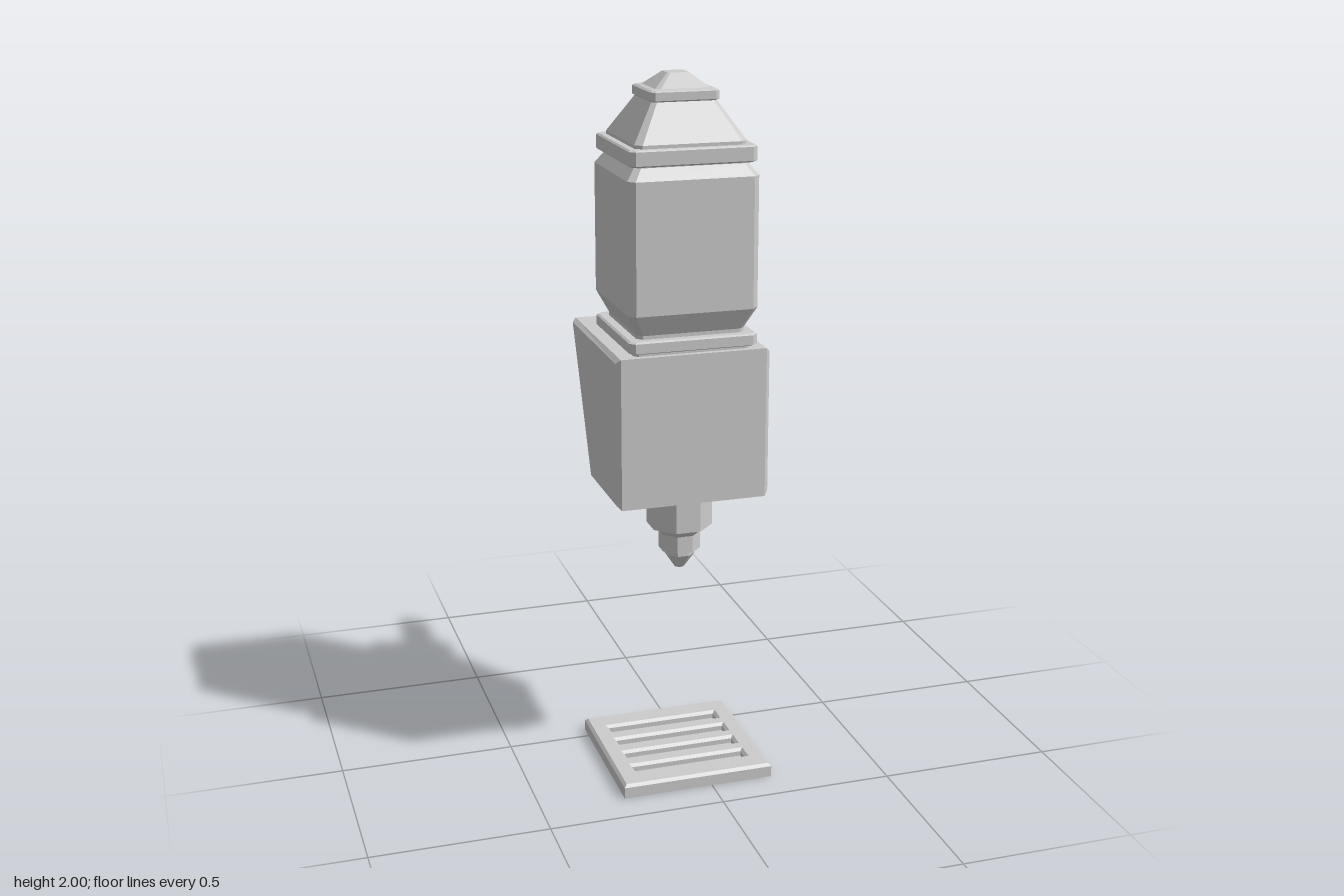
import * as THREE from 'three';

const flat = new THREE.MeshStandardMaterial({ color: 0xcccccc, flatShading: true });
const shell = new THREE.MeshStandardMaterial({ color: 0xcccccc, side: THREE.DoubleSide });

// Stacks square rings with cut corners; each ring is [y, half width, corner cut].
function loft(rings) {
  const pos = [];
  const idx = [];
  const add = (x, y, z) => pos.push(x, y, z) / 3 - 1;
  for (const [y, h, c] of rings) {
    const k = h - c;
    for (const [x, z] of [[h, -k], [h, k], [k, h], [-k, h], [-h, k], [-h, -k], [-k, -h], [k, -h]]) add(x, y, z);
  }
  const last = (rings.length - 1) * 8;
  const bottom = add(0, rings[0][0], 0);
  const top = add(0, rings[rings.length - 1][0], 0);
  for (let j = 0; j < 8; j++) {
    const n = (j + 1) % 8;
    for (let i = 0; i < last; i += 8) idx.push(i + j, i + 8 + j, i + n, i + n, i + 8 + j, i + 8 + n);
    idx.push(bottom, j, n, top, last + n, last + j);
  }
  const g = new THREE.BufferGeometry();
  g.setAttribute('position', new THREE.Float32BufferAttribute(pos, 3));
  g.setIndex(idx);
  g.computeVertexNormals();
  return g;
}

function rectPath(Type, x0, y0, x1, y1) {
  return new Type([[x0, y0], [x1, y0], [x1, y1], [x0, y1]].map(p => new THREE.Vector2(...p)));
}

export function createModel() {
  const model = new THREE.Group();
  const add = (name, geometry, x = 0, y = 0, z = 0, material = flat, parent = model) => {
    const mesh = new THREE.Mesh(geometry, material);
    mesh.name = name;
    mesh.position.set(x, y, z);
    parent.add(mesh);
    return mesh;
  };

  // Drip tray: a floor plate under a slotted grille
  const tray = new THREE.Group();
  tray.name = 'dripTray';
  model.add(tray);
  add('trayFloor', new THREE.BoxGeometry(0.44, 0.018, 0.44), -0.04, 0.009, 0.18, flat, tray);
  const grille = rectPath(THREE.Shape, -0.22, -0.22, 0.22, 0.22);
  for (let i = 0; i < 4; i++) {
    const y = (i - 1.5) * 0.085;
    grille.holes.push(rectPath(THREE.Path, -0.165, y - 0.02, 0.165, y + 0.02));
  }
  const grilleGeo = new THREE.ExtrudeGeometry(grille, {
    depth: 0.014, bevelThickness: 0.008, bevelSize: 0.008, bevelOffset: -0.008, bevelSegments: 1,
  });
  add('trayGrille', grilleGeo.rotateX(-Math.PI / 2), -0.04, 0.018, 0.18, flat, tray);

  // Body with a sloping back, drawn in side profile (z, y)
  const b = 0.012;
  const side = new THREE.Shape([[0.335, 0.84], [0.335, 1.267], [-0.147, 1.267], [0.045, 0.84]]
    .map(p => new THREE.Vector2(...p)));
  const bodyGeo = new THREE.ExtrudeGeometry(side, {
    depth: 0.437 - 2 * b, bevelThickness: b, bevelSize: b, bevelOffset: -b, bevelSegments: 1,
  });
  add('body', bodyGeo.rotateY(-Math.PI / 2), 0.182 - b, 0, 0);

  // Collar, bean hopper and stepped lid
  const ax = -0.035, az = 0.153;
  add('collar', loft([
    [1.26, 0.165, 0.012], [1.275, 0.165, 0.012], [1.275, 0.172, 0.012],
    [1.279, 0.181, 0.015], [1.306, 0.181, 0.015], [1.31, 0.175, 0.012],
  ]), ax, 0, az);
  add('hopper', loft([
    [1.305, 0.152, 0.015], [1.32, 0.152, 0.015], [1.38, 0.182, 0.018], [1.74, 0.182, 0.018],
    [1.772, 0.158, 0.015], [1.785, 0.158, 0.015],
  ]), ax, 0, az);
  add('lidRim', loft([
    [1.776, 0.172, 0.015], [1.78, 0.177, 0.015], [1.817, 0.177, 0.015], [1.821, 0.172, 0.015],
  ]), ax, 0, az);
  add('lid', loft([[1.815, 0.155, 0.018], [1.83, 0.155, 0.018], [1.935, 0.088, 0.012]]), ax, 0, az);
  add('lidCap', loft([
    [1.931, 0.09, 0.01], [1.935, 0.096, 0.012], [1.957, 0.096, 0.012], [1.961, 0.09, 0.01],
    [1.963, 0.075, 0.012], [2.0, 0.03, 0.007],
  ]), ax, 0, az);

  // Octagonal stepped nozzle
  const oct = 1 - Math.tan(Math.PI / 8);
  add('nozzle', loft([
    [0.603, 0.014], [0.645, 0.041], [0.658, 0.041], [0.66, 0.055], [0.71, 0.055],
    [0.733, 0.072], [0.733, 0.086], [0.85, 0.086],
  ].map(([y, h]) => [y, h, h * oct])), ax, 0, 0.194);

  // Steam knob: an open dome whose rim hangs lower on the outer side
  const r = 0.086;
  const dome = new THREE.SphereGeometry(r, 14, 8, 0, Math.PI * 2, 0, Math.PI * 0.56);
  const p = dome.attributes.position;
  for (let i = 0; i < p.count; i++) {
    if (p.getY(i) > -0.012) continue;
    const outer = Math.max(0, p.getX(i) / r);
    const tooth = i % 2 ? 1 : 0.25;
    p.setXYZ(i, p.getX(i) * (1 - 0.1 * outer), p.getY(i) - 0.042 * outer * tooth, p.getZ(i) * 0.97);
  }
  dome.computeVertexNormals();
  add('knob', dome, 0.17, 1.269, -0.075, shell);

  // Two levers leaving the back, their ends cut along the slope of the body
  const rod = (radius, length) => {
    const g = new THREE.CylinderGeometry(radius, radius, length, 8).rotateY(Math.PI / 8).rotateX(Math.PI / 2);
    const q = g.attributes.position;
    for (let i = 0; i < q.count; i++) q.setZ(i, q.getZ(i) - 0.42 * q.getY(i));
    g.computeVertexNormals();
    return g;
  };
  const levers = [['upperLever', 0.075, 1.107, -0.06, -0.235, -0.388], ['lowerLever', -0.143, 0.942, 0.015, -0.16, -0.313]];
  for (const [name, x, y, start, mid, end] of levers) {
    const lever = new THREE.Group();
    lever.name = name;
    model.add(lever);
    add('leverStem', rod(0.026, start - mid + 0.03), x, y, (start + mid) / 2, flat, lever);
    add('leverGrip', rod(0.04, mid - end), x, y, (mid + end) / 2, flat, lever);
  }
  return model;
}
